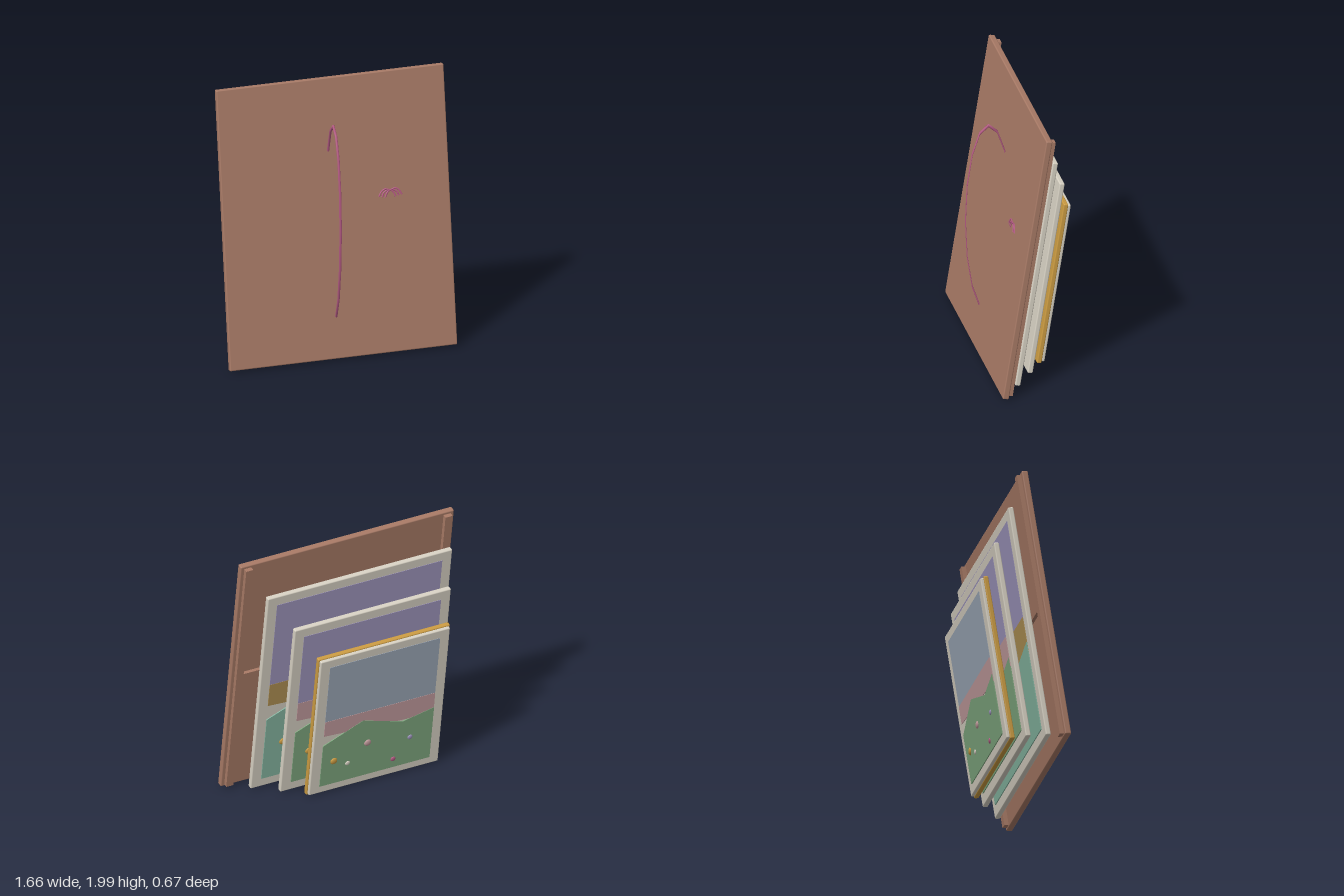
import * as THREE from 'three';
import { RoundedBoxGeometry } from 'three/addons/geometries/RoundedBoxGeometry.js';

const TILT = 0.157;

function paint(name, color) {
  const m = new THREE.MeshStandardMaterial({ color });
  m.name = name;
  return m;
}

export function createModel() {
  const brown = paint('brown board', 0xa87a66);
  const cream = paint('cream frame', 0xd8d2c4);
  const gold = paint('gold', 0xcc9c42);
  const rose = paint('rose strap', 0xb85c86);
  const lavender = paint('lavender sky', 0x9e95bd);
  const slate = paint('blue grey sky', 0x9ca8b7);
  const mauve = paint('mauve band', 0xc39c9e);
  const ochre = paint('ochre band', 0xb09154);
  const green = paint('green hill', 0x7fa87f);
  const teal = paint('teal hill', 0x86b7a2);

  const model = new THREE.Group();
  model.name = 'leaningPictures';

  function add(parent, name, geometry, material, x = 0, y = 0, z = 0) {
    const mesh = new THREE.Mesh(geometry, material);
    mesh.name = name;
    mesh.position.set(x, y, z);
    parent.add(mesh);
    return mesh;
  }

  // A group whose origin is the bottom centre of a leaning panel
  function leaning(name, x, y, z) {
    const g = new THREE.Group();
    g.name = name;
    g.position.set(x, y, z);
    g.rotation.x = -TILT;
    model.add(g);
    return g;
  }

  function board(parent, name, w, h, d, material, x = 0, y = 0, z = 0) {
    return add(parent, name, new RoundedBoxGeometry(w, h, d, 2, 0.009), material, x, y + h / 2, z);
  }

  // Large front board with battens on its back
  const front = leaning('frontBoard', 0, 0.014, 0.258);
  board(front, 'panel', 1.66, 2.005, 0.045, brown);
  for (const side of [-1, 1]) {
    add(front, 'batten', new THREE.BoxGeometry(0.055, 1.97, 0.032), brown, side * 0.775, 1.0, -0.038);
  }
  add(front, 'crossRail', new THREE.BoxGeometry(1.5, 0.05, 0.026), brown, 0, 1.0, -0.035);

  // Small clasp lying on the front face
  const clasp = new THREE.Group();
  clasp.name = 'clasp';
  clasp.position.set(0.395, 1.13, 0.024);
  clasp.scale.z = 0.6;
  front.add(clasp);
  const strands = [
    [[-0.083, -0.015], [-0.065, 0.018], [-0.035, 0.036], [0, 0.024], [0.035, 0.036], [0.065, 0.018], [0.083, -0.015]],
    [[-0.02, 0.028], [-0.05, 0.006], [-0.06, -0.02]],
    [[0.02, 0.028], [0.05, 0.006], [0.06, -0.02]],
    [[-0.005, 0.026], [-0.025, 0.004], [-0.038, -0.025]],
    [[0.005, 0.026], [0.025, 0.004], [0.038, -0.025]],
  ];
  for (const pts of strands) {
    const curve = new THREE.CatmullRomCurve3(pts.map(([x, y]) => new THREE.Vector3(x, y, 0)));
    add(clasp, 'claspStrand', new THREE.TubeGeometry(curve, 12, 0.0065, 6), rose);
  }

  // Upright oval strap that passes through the front board
  const ring = new THREE.TorusGeometry(0.165, 0.003, 8, 16);
  ring.rotateY(Math.PI / 2);
  const strap = add(model, 'strap', ring, rose, -0.04, 0.98, 0.165);
  strap.scale.set(3, 4.42, 1);

  // Landscape on the back of a frame; u runs from +x to -x, v from the bottom up
  const skyline = [[0, 0.34], [0.35, 0.47], [0.72, 0.37], [1, 0.42]];
  const flowers = [
    [0.11, 0.19, 0.027, gold], [0.24, 0.14, 0.019, cream], [0.41, 0.27, 0.027, mauve],
    [0.8, 0.22, 0.02, lavender], [0.66, 0.07, 0.02, rose],
  ];
  function landscape(parent, w, h, back, sky, band, hill) {
    const border = 0.075;
    const pw = w - border * 2, ph = h - border * 2;
    const at = (u, v) => new THREE.Vector2(pw / 2 - u * pw, border + v * ph);
    const plate = (name, points, proud, material) => {
      const shape = new THREE.Shape(points.map(([u, v]) => at(u, v)));
      const g = new THREE.ExtrudeGeometry(shape, { depth: proud + 0.001, bevelEnabled: false });
      add(parent, name, g, material, 0, 0, back - proud);
    };
    plate('sky', [[0, 0.53], [1, 0.53], [1, 1], [0, 1]], 0.003, sky);
    plate('distantBand', [[0, 0.42], [1, 0.37], [1, 0.54], [0, 0.54]], 0.005, band);
    plate('hill', [[0, 0], ...skyline, [1, 0]], 0.007, hill);
    for (const [u, v, r, material] of flowers) {
      const p = at(u, v);
      const bloom = add(parent, 'flower', new THREE.SphereGeometry(r, 12, 8), material, p.x, p.y, back - 0.007);
      bloom.scale.z = 0.4;
    }
  }

  // Two cream frames stacked behind the board
  const frames = [
    ['largePicture', -0.0575, 0.13, 1.435, 1.735, ochre, teal],
    ['middlePicture', -0.1125, 0, 1.215, 1.475, mauve, green],
  ];
  for (const [name, x, z, w, h, band, hill] of frames) {
    const g = leaning(name, x, 0.017, z);
    board(g, 'frame', w, h, 0.038, cream);
    landscape(g, w, h, -0.019, lavender, band, hill);
  }

  // Rearmost picture on a gold board
  const small = leaning('smallPicture', -0.1675, 0.005, -0.102);
  board(small, 'goldBoard', 1.025, 1.238, 0.035, gold);
  board(small, 'frame', 1.005, 1.218, 0.03, cream, 0, 0.01, -0.025);
  landscape(small, 1.005, 1.235, -0.04, slate, mauve, green);

  return model;
}
